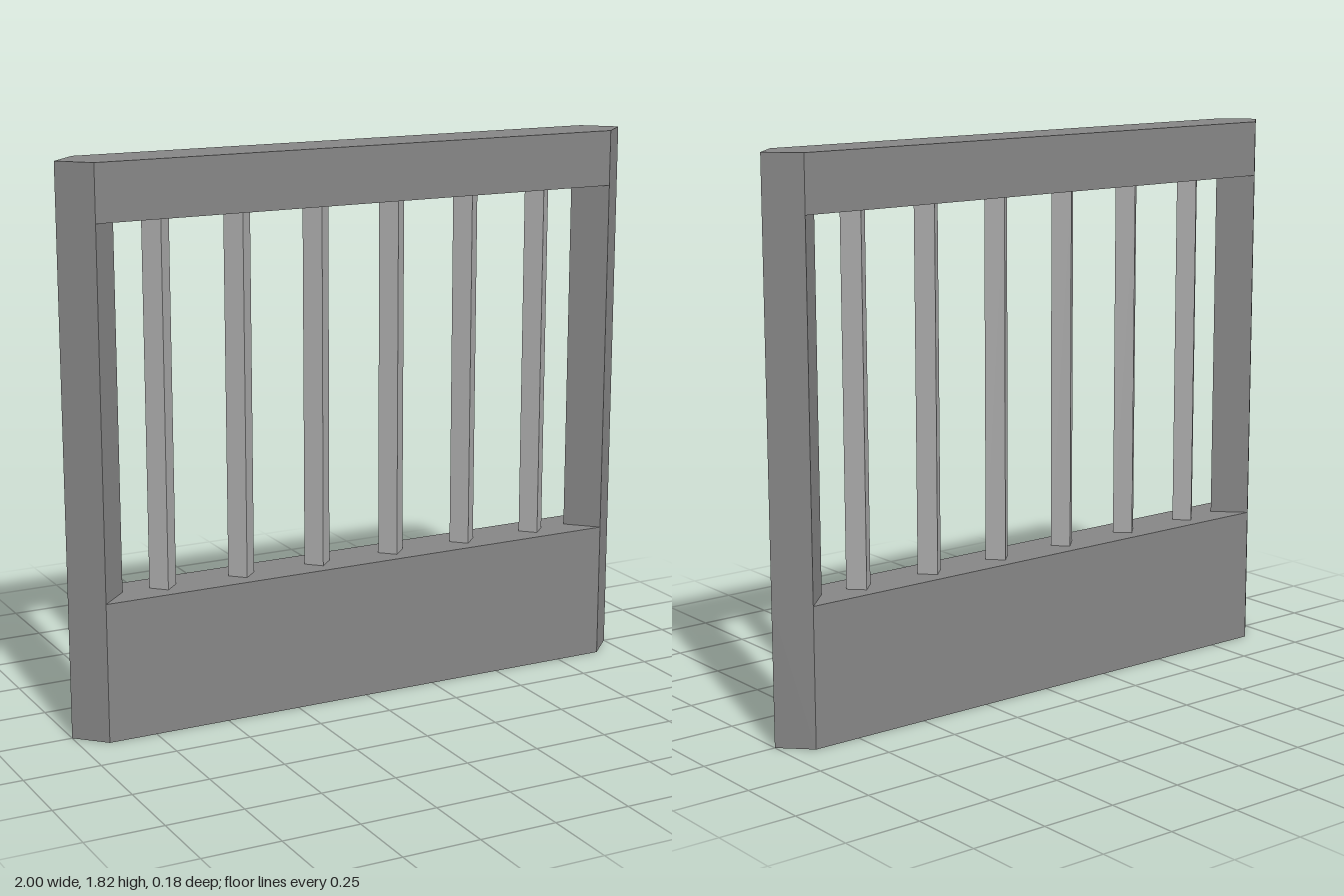
import * as THREE from 'three';

// Everything sits on a grid of 1/11 of the half width
const U = 1 / 11;
const HEIGHT = 20 * U, LOW = 5 * U, HIGH = 18 * U; // opening runs from LOW to HIGH
const POST_X = 10 * U, POST_R = U, BAR_R = U / 2;

export function createModel() {
  const group = new THREE.Group();
  const frameMaterial = new THREE.MeshStandardMaterial({ color: 0x858585, flatShading: true });
  const barMaterial = new THREE.MeshStandardMaterial({ color: 0xaaaaaa, flatShading: true });

  const add = (name, geometry, material, x, y) => {
    const mesh = new THREE.Mesh(geometry, material);
    mesh.name = name;
    mesh.position.set(x, y, 0);
    group.add(mesh);
  };

  // Rail plan: a long plank with pointed ends that cap the diamond posts
  const plan = new THREE.Shape([
    [-1, 0], [-POST_X, -POST_R], [POST_X, -POST_R],
    [1, 0], [POST_X, POST_R], [-POST_X, POST_R],
  ].map(([x, z]) => new THREE.Vector2(x, z)));
  const rail = (depth) =>
    new THREE.ExtrudeGeometry(plan, { depth, bevelEnabled: false }).rotateX(-Math.PI / 2);
  add('bottomPanel', rail(LOW), frameMaterial, 0, 0);
  add('topRail', rail(HEIGHT - HIGH), frameMaterial, 0, HIGH);

  // Four-sided uprights, set corner-on; their ends meet the rails
  const upright = (r) => new THREE.CylinderGeometry(r, r, HIGH - LOW, 4, 1, true);
  const midY = (LOW + HIGH) / 2;
  add('leftPost', upright(POST_R), frameMaterial, POST_X, midY);
  add('rightPost', upright(POST_R), frameMaterial, -POST_X, midY);

  // Six evenly spaced, lighter bars
  for (let i = 0; i < 6; i++) {
    add(`bar${i + 1}`, upright(BAR_R), barMaterial, (i - 2.5) * 3 * U, midY);
  }

  return group;
}
